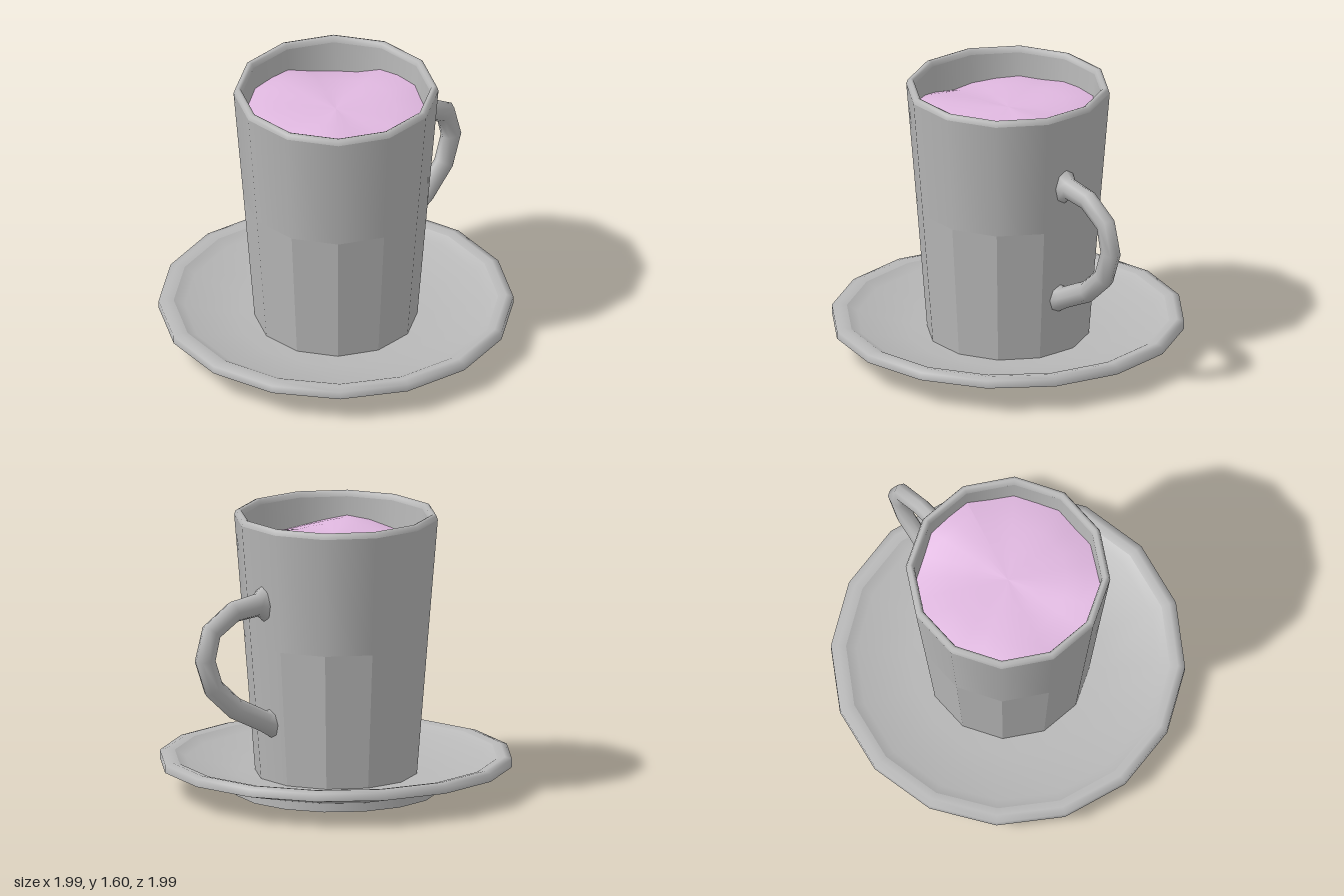
import * as THREE from 'three';

const ceramic = new THREE.MeshStandardMaterial({ color: 0xb8b8b8 });
ceramic.name = 'grey ceramic';
const drink = new THREE.MeshStandardMaterial({ color: 0xe0b8e0 });
drink.name = 'pink drink';

const TAU = Math.PI * 2;

function add(parent, name, geometry, material = ceramic) {
  const mesh = new THREE.Mesh(geometry, material);
  mesh.name = name;
  parent.add(mesh);
  return mesh;
}

function turned(profile, sides, start = 0, length = TAU) {
  return new THREE.LatheGeometry(profile.map(([r, y]) => new THREE.Vector2(r, y)), sides, start, length);
}

function flat(geometry) {
  const g = geometry.toNonIndexed();
  g.computeVertexNormals();
  return g;
}

// Sixteen-sided saucer; separate pieces keep the edges between them sharp
function makeSaucer() {
  const saucer = new THREE.Group();
  saucer.name = 'saucer';
  const pieces = {
    footRecess: [[0, 0.035], [0.25, 0.03], [0.43, 0.005]],
    footRing: [[0.43, 0], [0.58, 0]],
    footEdge: [[0.58, 0], [0.58, 0.05]],
    underside: [[0.58, 0.05], [0.995, 0.155]],
    rim: [[0.995, 0.155], [0.995, 0.2], [0.955, 0.212], [0.91, 0.203]],
    dish: [[0.91, 0.203], [0.85, 0.17], [0.55, 0.105], [0, 0.095]],
  };
  for (const [name, profile] of Object.entries(pieces)) add(saucer, name, turned(profile, 16));
  return saucer;
}

// Twelve-sided cup: faceted below, smooth above
function makeCup() {
  const cup = new THREE.Group();
  cup.name = 'cup';
  const step = TAU / 12;
  const handleSide = Math.PI / 2 - step / 2;
  const lower = [[0.457, 0.1], [0.519, 0.88]];
  add(cup, 'base', turned([[0, 0.1], [0.457, 0.1]], 12, handleSide));
  add(cup, 'lowerFacets', flat(turned(lower, 11, handleSide + step, TAU - step)));
  add(cup, 'lowerHandleSide', turned(lower, 1, handleSide, step));
  add(cup, 'upperWall', turned([[0.519, 0.88], [0.575, 1.565]], 12, handleSide));
  add(cup, 'lip', turned([[0.575, 1.565], [0.567, 1.59], [0.55, 1.597], [0.535, 1.59], [0.527, 1.565]], 12, handleSide));
  add(cup, 'innerWall', turned([[0.527, 1.565], [0.42, 0.17]], 12, handleSide));
  add(cup, 'innerFloor', turned([[0.42, 0.17], [0, 0.17]], 12, handleSide));

  // Drink with a gently uneven surface
  const rings = [0.522, 0.44, 0.34, 0.2, 0];
  const surface = turned(rings.map((r) => [r, 1.43]), 24, handleSide);
  const p = surface.attributes.position;
  for (let i = 0; i < p.count; i++) {
    const x = p.getX(i), z = p.getZ(i), r = Math.hypot(x, z), a = Math.atan2(z, x);
    const ripple = 0.022 * Math.sin(3 * a + 0.8) + 0.014 * Math.sin(5 * a + 2);
    const dome = 0.035 * (1 - (r / 0.522) ** 4);
    p.setY(i, 1.42 + dome + ripple * (r / 0.5) ** 2);
    // Follow the straight walls of the cup
    const off = ((a + step / 2) % step + step) % step - step / 2;
    const fit = Math.cos(step / 2) / Math.cos(off);
    p.setX(i, x * fit);
    p.setZ(i, z * fit);
  }
  surface.computeVertexNormals();
  add(cup, 'drink', surface, drink);
  return cup;
}

// Handle lofted from sections: x, y, half thickness, half width
function makeHandle() {
  const sections = [
    [0.515, 1.14, 0.105, 0.07], [0.56, 1.14, 0.067, 0.05], [0.725, 1.125, 0.064, 0.05],
    [0.885, 1.03, 0.064, 0.05], [0.93, 0.87, 0.066, 0.05], [0.87, 0.705, 0.064, 0.05],
    [0.72, 0.57, 0.062, 0.05], [0.51, 0.465, 0.06, 0.05], [0.46, 0.445, 0.085, 0.07],
  ];
  const sides = 8, positions = [], index = [];
  sections.forEach(([x, y, t, w], i) => {
    const before = sections[Math.max(i - 1, 0)], after = sections[Math.min(i + 1, sections.length - 1)];
    let dx = after[0] - before[0], dy = after[1] - before[1];
    // End sections lie along the cup wall
    if (i === 0) [dx, dy] = [1, -0.08];
    if (i === sections.length - 1) [dx, dy] = [-1, 0.08];
    const len = Math.hypot(dx, dy);
    for (let j = 0; j < sides; j++) {
      const a = (j / sides) * TAU;
      const n = Math.cos(a) * t;
      positions.push(x - (dy / len) * n, y + (dx / len) * n, Math.sin(a) * w);
      if (i < sections.length - 1) {
        const p = i * sides + j, q = i * sides + (j + 1) % sides;
        index.push(p, q, p + sides, q, q + sides, p + sides);
      }
    }
  });
  const g = new THREE.BufferGeometry();
  g.setAttribute('position', new THREE.Float32BufferAttribute(positions, 3));
  g.setIndex(index);
  g.computeVertexNormals();
  return g;
}

export function createModel() {
  const model = new THREE.Group();
  model.name = 'cupAndSaucer';
  const saucer = makeSaucer();
  const cup = makeCup();
  saucer.position.x = cup.position.x = -0.004;
  model.add(saucer, cup);
  add(model, 'handle', makeHandle());
  return model;
}
